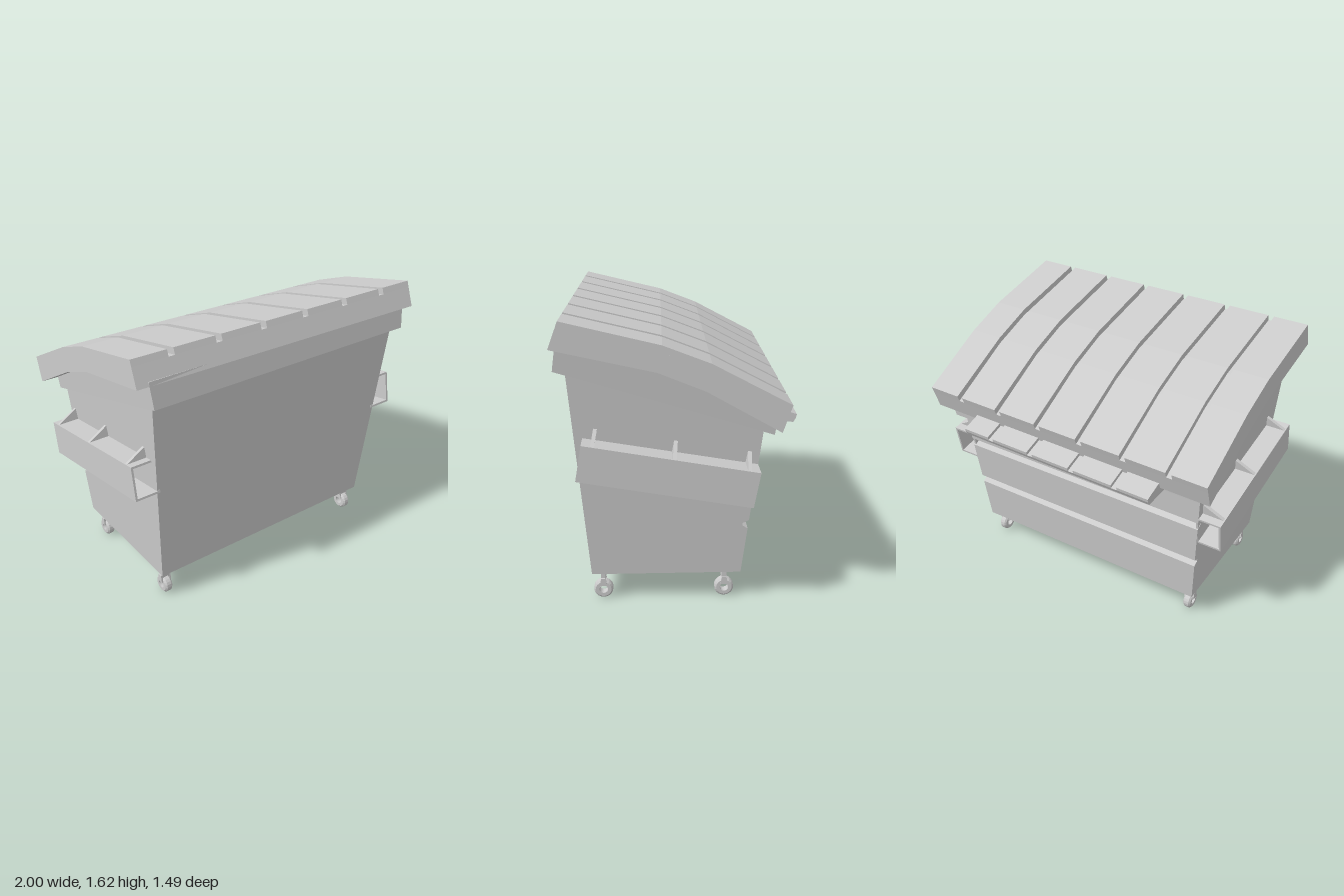
import * as THREE from 'three';

const material = new THREE.MeshStandardMaterial({ color: 0xcccccc, flatShading: true, side: THREE.DoubleSide });

function add(parent, name, geometry) {
  const mesh = new THREE.Mesh(geometry, material);
  mesh.name = name;
  parent.add(mesh);
  return mesh;
}

// Side outline given as [z, y] points, extruded along x and centred on it
function extrudeX(points, width, hole) {
  const toShape = (p) => p.map(([z, y]) => new THREE.Vector2(-z, y));
  const shape = new THREE.Shape(toShape(points));
  if (hole) shape.holes.push(new THREE.Path(toShape(hole)));
  const geometry = new THREE.ExtrudeGeometry(shape, { depth: width, bevelEnabled: false });
  return geometry.translate(0, 0, -width / 2).rotateY(Math.PI / 2);
}

// Scales x so that the half width changes linearly with height (unit-wide input)
function taperX(geometry, y0, half0, slope) {
  const p = geometry.attributes.position;
  for (let i = 0; i < p.count; i++) p.setX(i, p.getX(i) * 2 * (half0 + slope * (p.getY(i) - y0)));
  geometry.computeVertexNormals();
  return geometry;
}

function circle(radius, n) {
  return Array.from({ length: n }, (_, i) => {
    const a = (i / n) * Math.PI * 2;
    return [radius * Math.cos(a), radius * Math.sin(a)];
  });
}

// Tapered bin with two horizontal grooves pressed into the back
function buildBody(parent) {
  const back = (y) => -0.357 - 0.11 * (y - 0.165);
  const groove = (y) => [
    [back(y), y],
    [back(y) + 0.03, y + 0.018],
    [back(y) + 0.03, y + 0.032],
    [back(y + 0.05), y + 0.05],
  ];
  const outline = [
    [0.472, 0.165], [back(0.165), 0.165],
    ...groove(0.44), ...groove(0.74),
    [back(1.05), 1.05], [0.575, 1.42],
  ];
  add(parent, 'body', taperX(extrudeX(outline, 1), 0.165, 0.762, 0.063));

  const rim = [
    [0.63, 1.352], [0.608, 1.5], [0.1, 1.42], [-0.15, 1.32], [-0.52, 1.1], [-0.507, 0.997],
  ];
  add(parent, 'rim', taperX(extrudeX(rim, 1), 1.352, 0.86, 0.08));
}

// Curved lid: a lower slab carrying raised panels, the gaps forming the grooves
function buildLid(parent) {
  const lid = new THREE.Group();
  lid.name = 'lid';
  lid.rotation.y = -0.016;
  parent.add(lid);

  const top = [[0.572, 1.618], [0.066, 1.498], [-0.181, 1.404], [-0.591, 1.189]];
  const middle = [[0.585, 1.583], [0.066, 1.463], [-0.181, 1.369], [-0.579, 1.154]];
  const bottom = [[0.625, 1.477], [0.09, 1.36], [-0.155, 1.262], [-0.543, 1.044]];
  add(lid, 'lidSlab', extrudeX([...middle, ...bottom.slice().reverse()], 1.86));

  const panelOutline = [...top, ...middle.slice().reverse()];
  const lipBase = [[-0.5, 1.075], [-0.557, 1.06], [-0.664, 1.024], [-0.65, 1.0], [-0.49, 1.005]];
  const lipPanel = [[-0.5, 1.098], [-0.55, 1.082], [-0.668, 1.044], [-0.664, 1.024], [-0.5, 1.075]];
  const pitch = 0.2825, gap = 0.036;
  for (let i = -3; i <= 3; i++) {
    const x0 = i === -3 ? -0.93 : (i - 0.5) * pitch + gap / 2;
    const x1 = i === 3 ? 0.93 : (i + 0.5) * pitch - gap / 2;
    add(lid, 'lidPanel', extrudeX(panelOutline, x1 - x0)).position.x = (x0 + x1) / 2;
    // Narrower lip panels line up with the lid panels
    if (Math.abs(i) < 3) {
      const l0 = Math.max(x0, -0.635), l1 = Math.min(x1, 0.615);
      add(lid, 'backLipPanel', extrudeX(lipPanel, l1 - l0)).position.x = (l0 + l1) / 2;
    }
  }
  add(lid, 'backLip', extrudeX(lipBase, 1.25)).position.x = -0.01;
}

// Open rectangular sleeve with three triangular gussets, sloping down to the back
function buildForkPocket(parent, side) {
  const pocket = new THREE.Group();
  pocket.name = side > 0 ? 'leftForkPocket' : 'rightForkPocket';
  pocket.position.set(0, 0.807, 0.05);
  pocket.rotation.x = -0.172;
  parent.add(pocket);

  const rect = (x0, x1, h) => [[x0, -h], [x1, -h], [x1, h], [x0, h]].map(([x, y]) => new THREE.Vector2(x * side, y));
  const shape = new THREE.Shape(rect(0.785, 0.935, 0.099));
  shape.holes.push(new THREE.Path(rect(0.797, 0.923, 0.087)));
  const sleeve = new THREE.ExtrudeGeometry(shape, { depth: 0.937, bevelEnabled: false });
  add(pocket, 'pocketSleeve', sleeve.translate(0, 0, -0.4685));

  const triangle = new THREE.Shape([[0.79, 0.098], [0.93, 0.098], [0.8, 0.17]].map(([x, y]) => new THREE.Vector2(x * side, y)));
  for (const z of [0.41, -0.015, -0.41]) {
    const gusset = new THREE.ExtrudeGeometry(triangle, { depth: 0.02, bevelEnabled: false });
    add(pocket, 'pocketGusset', gusset.translate(0, 0, z - 0.01));
  }
}

// Caster: stem, two fork cheeks and a ring wheel
function buildCaster(parent, x, z) {
  const caster = new THREE.Group();
  caster.name = 'caster';
  caster.position.set(x, 0, z);
  parent.add(caster);

  add(caster, 'casterStem', new THREE.BoxGeometry(0.044, 0.07, 0.026)).position.y = 0.135;
  const cheek = [[-0.013, 0.125], [0.013, 0.125], [0.02, 0.078], [-0.02, 0.078]];
  for (const s of [-1, 1]) add(caster, 'casterCheek', extrudeX(cheek, 0.01)).position.x = s * 0.027;

  const profile = [
    [0.024, -0.024], [0.044, -0.024], [0.054, -0.014], [0.054, 0.014],
    [0.044, 0.024], [0.024, 0.024], [0.024, -0.024],
  ].map(([r, y]) => new THREE.Vector2(r, y));
  const wheel = add(caster, 'casterWheel', new THREE.LatheGeometry(profile, 20).rotateZ(Math.PI / 2));
  wheel.position.y = 0.055;
}

export function createModel() {
  const model = new THREE.Group();
  model.name = 'wheeledDumpster';
  const bin = new THREE.Group();
  bin.name = 'bin';
  bin.rotation.y = -0.117;
  model.add(bin);

  buildBody(bin);
  buildLid(bin);
  for (const side of [-1, 1]) {
    buildForkPocket(bin, side);
    for (const z of [0.411, -0.269]) buildCaster(bin, side * 0.712, z);
  }
  return model;
}
